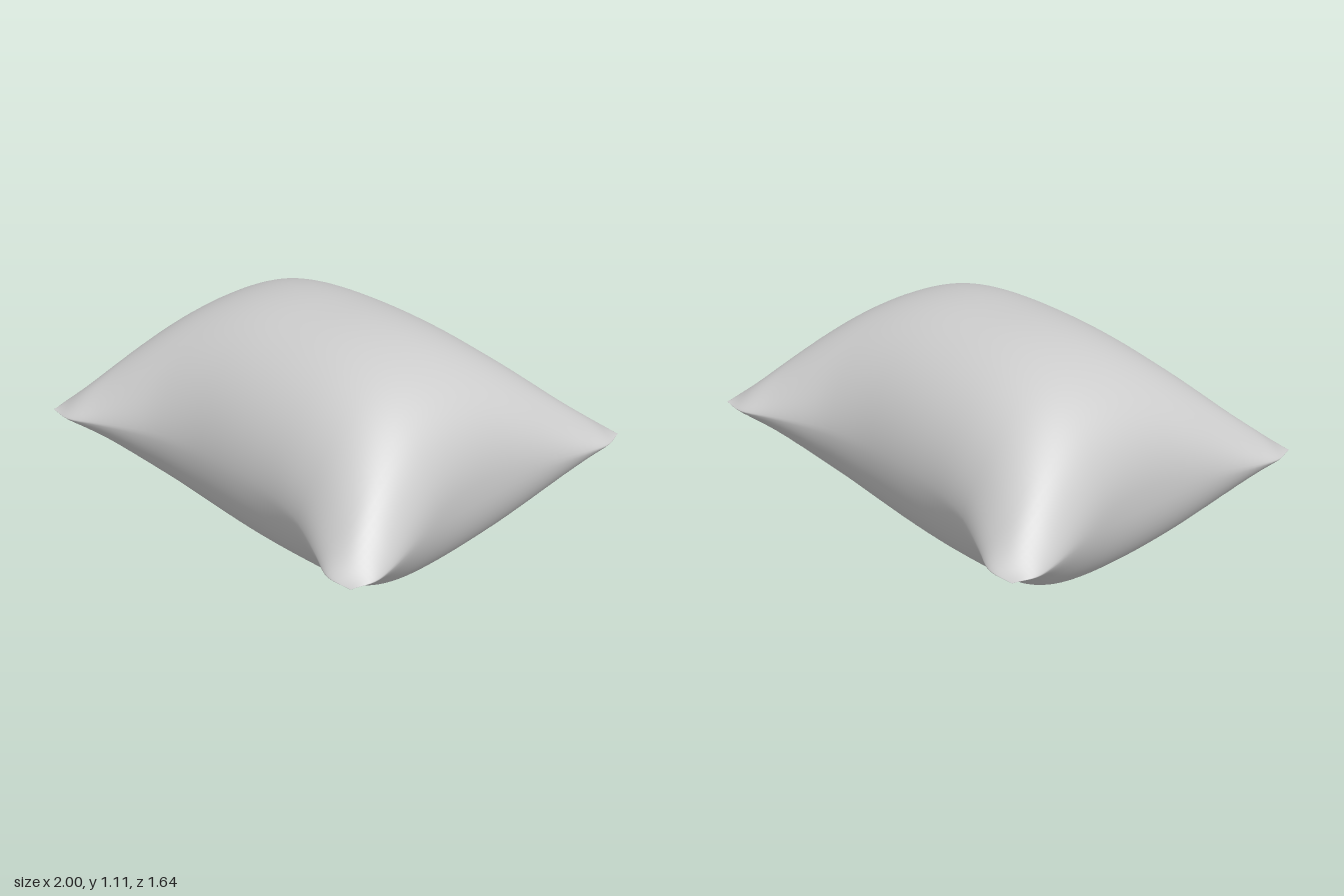
import * as THREE from 'three';
import { mergeGeometries, mergeVertices } from 'three/addons/utils/BufferGeometryUtils.js';

const SEGMENTS = 56;
const HALF_HEIGHT = 0.557;

// Smooth mirrored curve through values given at even steps from middle to corner
function mirroredCurve(values) {
  const all = [...values.slice(1).reverse(), ...values];
  const spline = new THREE.SplineCurve(all.map((v, i) => new THREE.Vector2(i, v)));
  return (t) => spline.getPoint((t + 1) / 2).y;
}

// Seam outline: half width along z and half depth along x, drawn out at the corners
const halfWidth = mirroredCurve([0.865, 0.869, 0.882, 0.904, 0.93, 0.959, 0.986, 1.0, 0.972]);
const halfDepth = mirroredCurve([0.596, 0.597, 0.603, 0.62, 0.65, 0.7, 0.758, 0.816, 0.81]);

// Stuffed profile: rounds over at the seam in the middle of a side (low power)
// and thins to a flat wedge towards the corners (high power)
function bulge(t, across, roundness, power) {
  const p = THREE.MathUtils.lerp(power, 0.85, across * across);
  return Math.pow(Math.max(0, 1 - Math.pow(Math.abs(t), roundness)), p);
}

// One panel of cloth, side = 1 for the top and -1 for the bottom
function panel(side) {
  const geo = new THREE.PlaneGeometry(2, 2, SEGMENTS, SEGMENTS);
  geo.rotateX(-side * Math.PI / 2);
  geo.deleteAttribute('uv');
  geo.deleteAttribute('normal');
  const pos = geo.attributes.position;
  for (let i = 0; i < pos.count; i++) {
    // Rows gather towards the seam, where the cloth curves most
    const u = Math.sin(pos.getX(i) * Math.PI / 2);
    const v = Math.sin(pos.getZ(i) * Math.PI / 2);
    const x = u * halfWidth(v);
    const z = v * halfDepth(u);
    const lift = HALF_HEIGHT * bulge(u, v, 2.6, 0.437) * bulge(v, u, 2.2, 0.52);
    // The seam tilts very slightly
    const seam = HALF_HEIGHT + 0.01 * x - 0.016 * z;
    pos.setXYZ(i, x, seam + side * lift, z);
  }
  return geo;
}

export function createModel() {
  const group = new THREE.Group();
  group.name = 'pillow';

  // Both panels are welded along the seam for continuous shading
  const geo = mergeVertices(mergeGeometries([panel(1), panel(-1)]), 1e-5);
  geo.computeVertexNormals();

  const cushion = new THREE.Mesh(geo, new THREE.MeshStandardMaterial({ color: 0xcccccc }));
  cushion.name = 'cushion';
  group.add(cushion);
  return group;
}
